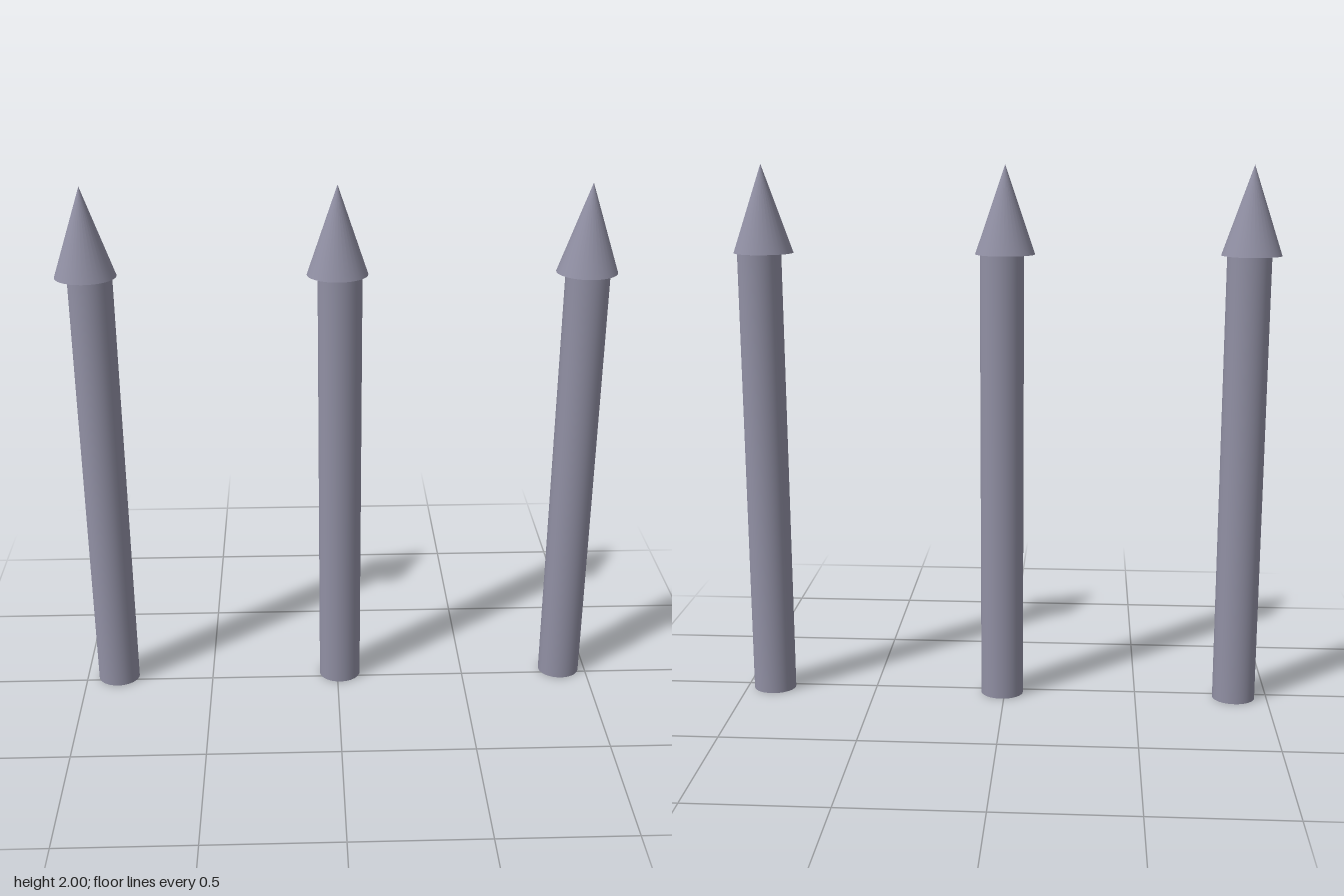
import * as THREE from 'three';

const material = new THREE.MeshStandardMaterial({ color: 0x9190a4 });

// One upright picket: an oval shaft set slightly off-centre under an oval pointed cap
function createPicket() {
  const picket = new THREE.Group();
  const baseY = 1.68, topY = 2;

  const shaft = new THREE.Mesh(new THREE.CylinderGeometry(1, 1, baseY, 32), material);
  shaft.name = 'shaft';
  shaft.scale.set(0.08, 1, 0.07);
  shaft.position.set(0.01, baseY / 2, -0.028);

  const tip = new THREE.Mesh(new THREE.ConeGeometry(1, topY - baseY, 32), material);
  tip.name = 'pointedTip';
  tip.scale.set(0.109, 1, 0.098);
  tip.position.y = (baseY + topY) / 2;

  picket.add(shaft, tip);
  return picket;
}

export function createModel() {
  const model = new THREE.Group();
  model.name = 'threePickets';
  // Three evenly spaced pickets in a row
  ['rightPicket', 'middlePicket', 'leftPicket'].forEach((name, i) => {
    const picket = createPicket();
    picket.name = name;
    picket.position.x = (i - 1) * 0.885;
    model.add(picket);
  });
  return model;
}
